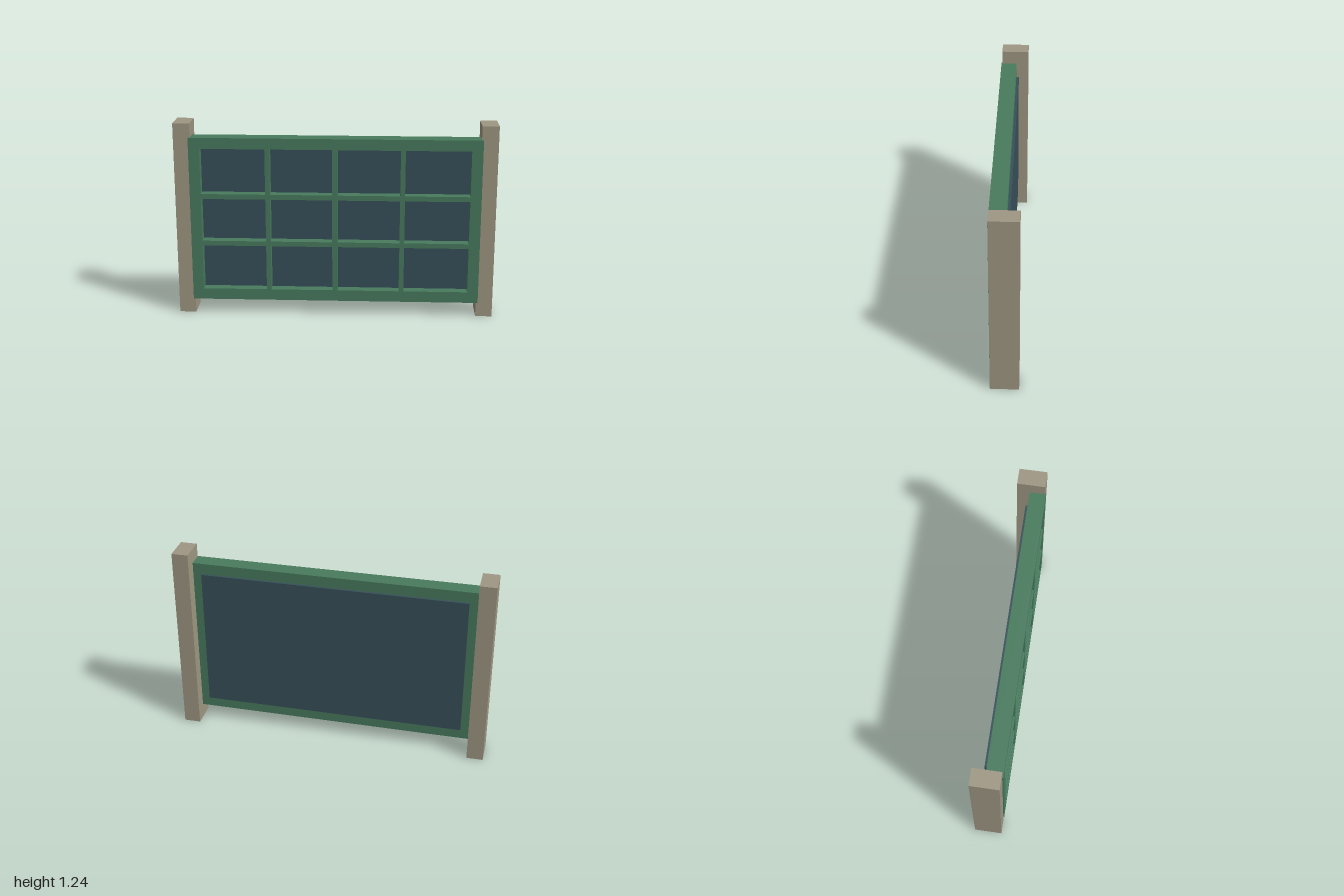
import * as THREE from 'three';

const material = (color) => new THREE.MeshStandardMaterial({ color });

// Trace a rectangle on a Shape or Path
function rect(path, x0, y0, x1, y1) {
  path.moveTo(x0, y0);
  path.lineTo(x1, y0);
  path.lineTo(x1, y1);
  path.lineTo(x0, y1);
  path.closePath();
  return path;
}

function box(name, [x0, x1], [y0, y1], [z0, z1], mat) {
  const mesh = new THREE.Mesh(new THREE.BoxGeometry(x1 - x0, y1 - y0, z1 - z0), mat);
  mesh.position.set((x0 + x1) / 2, (y0 + y1) / 2, (z0 + z1) / 2);
  mesh.name = name;
  return mesh;
}

export function createModel() {
  const model = new THREE.Group();
  model.name = 'windowPanel';
  const stone = material(0x9f9783);
  const green = material(0x487b5e);
  const slate = material(0x385059);

  // Square posts on both sides
  model.add(box('leftPost', [0.896, 1], [0, 1.236], [-0.09, 0.084], stone));
  model.add(box('rightPost', [-1, -0.896], [0, 1.236], [-0.09, 0.084], stone));

  // Frame with a 4 x 3 grid of openings, leaving rails and glazing bars
  const columns = [[-0.839, -0.435], [-0.405, -0.017], [0.017, 0.405], [0.435, 0.839]];
  const rows = [[0.163, 0.453], [0.484, 0.758], [0.79, 1.079]];
  const outline = rect(new THREE.Shape(), -0.908, 0.092, 0.908, 1.148);
  for (const [x0, x1] of columns) {
    for (const [y0, y1] of rows) outline.holes.push(rect(new THREE.Path(), x0, y0, x1, y1));
  }
  const frame = new THREE.Mesh(
    new THREE.ExtrudeGeometry(outline, { depth: 0.102, bevelEnabled: false }), green);
  frame.position.z = -0.012;
  frame.name = 'frame';
  model.add(frame);

  // Pane set into the frame, standing slightly proud at the back
  model.add(box('pane', [-0.839, 0.839], [0.163, 1.079], [-0.028, 0.028], slate));

  return model;
}
